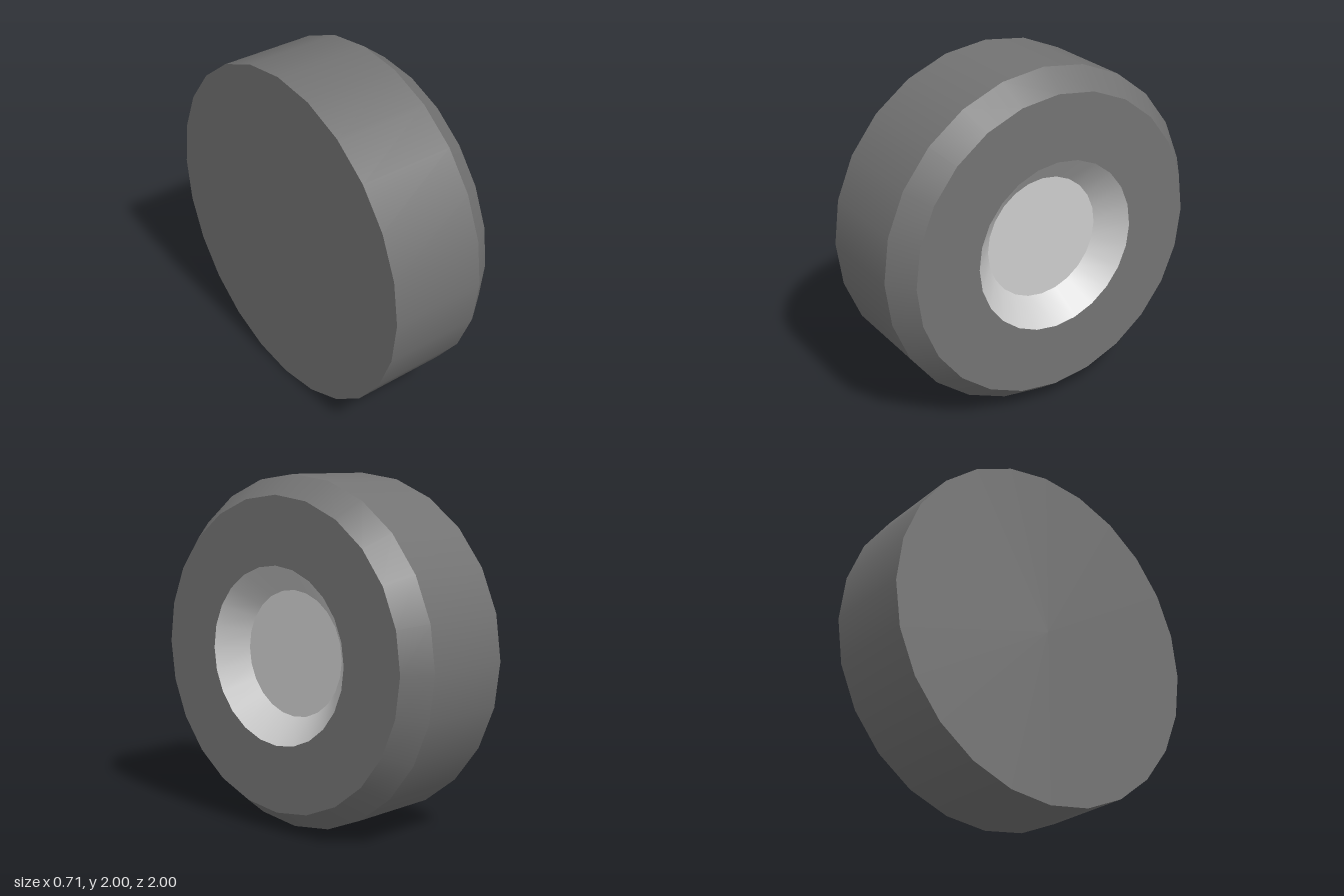
import * as THREE from 'three';
import { mergeGeometries } from 'three/addons/utils/BufferGeometryUtils.js';

const SIDES = 24;

// Revolves [radius, x] points around the x axis; each band is its own lathe,
// so it is smooth around the wheel but sharp from band to band.
function turned(name, profile, color) {
  const bands = [];
  for (let i = 0; i < profile.length - 1; i++) {
    const pair = [profile[i], profile[i + 1]].map(([r, x]) => new THREE.Vector2(r, x));
    bands.push(new THREE.LatheGeometry(pair, SIDES));
  }
  const geometry = mergeGeometries(bands);
  geometry.rotateZ(-Math.PI / 2);
  const mesh = new THREE.Mesh(geometry, new THREE.MeshStandardMaterial({ color }));
  mesh.name = name;
  return mesh;
}

export function createModel() {
  const wheel = new THREE.Group();
  wheel.name = 'wheel';

  // Tire: flat inner side, tread, bevelled shoulder and outer sidewall
  wheel.add(turned('tire', [
    [0, -0.357], [1, -0.357], [1, 0.212], [0.89, 0.357], [0.505, 0.357],
  ], 0x737373));

  // Hub: sloping recess with a flat floor
  wheel.add(turned('hub', [
    [0.505, 0.357], [0.36, 0.212], [0, 0.212],
  ], 0xcccccc));

  wheel.position.y = 1;
  const model = new THREE.Group();
  model.add(wheel);
  return model;
}
